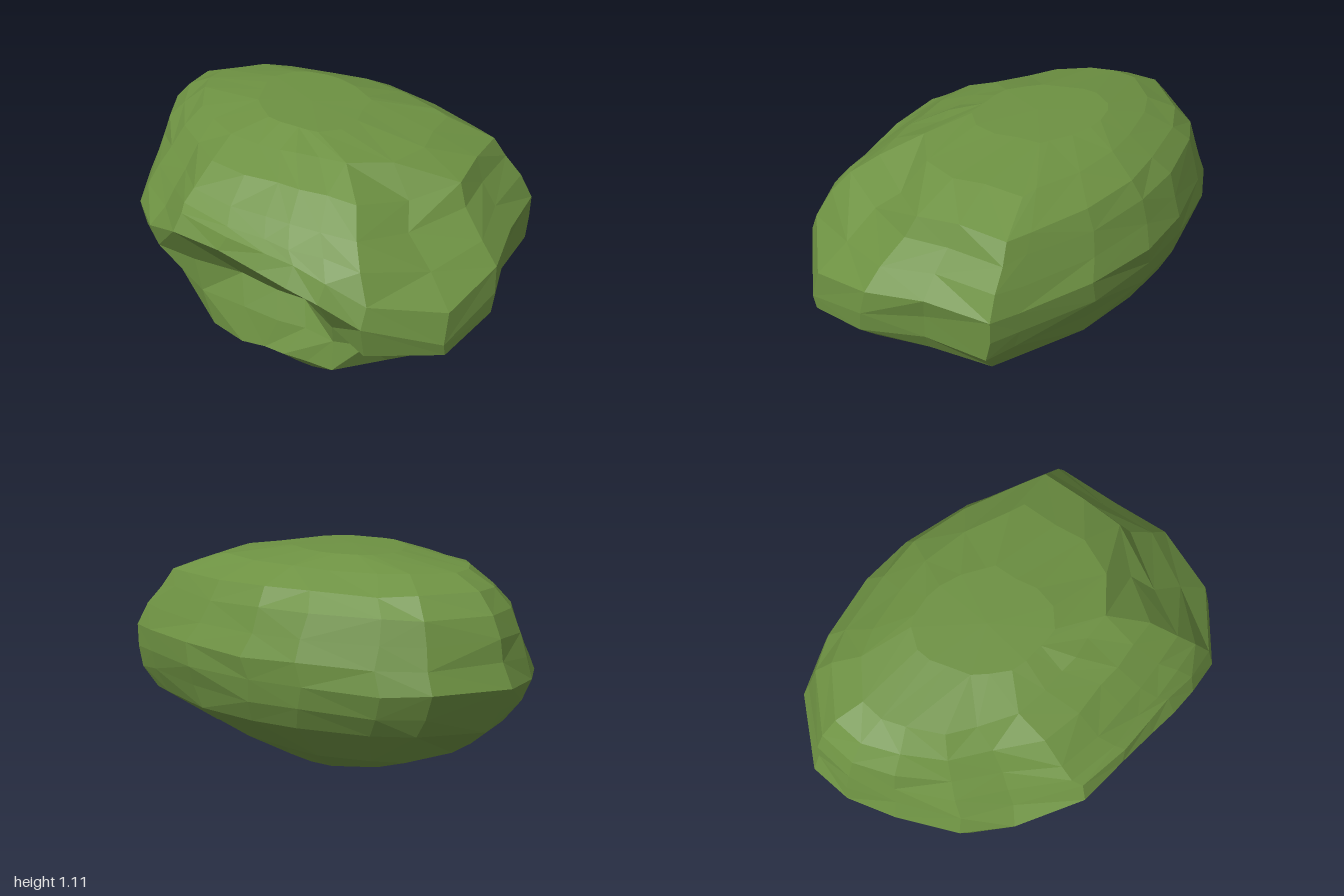
import * as THREE from 'three';

// Plan outline of the boulder (x, z), running from +x round through +z.
const OUTLINE = [
  [0.96, 0.05], [0.99, 0.36], [0.84, 0.67], [0.5, 0.845], [0.3, 0.83], [0.13, 0.8], [-0.02, 0.77],
  [-0.22, 0.74], [-0.48, 0.65], [-0.72, 0.42], [-0.89, 0.22], [-0.95, -0.1], [-1, -0.34],
  [-0.95, -0.55], [-0.66, -0.79], [-0.45, -0.845], [-0.07, -0.835], [0.21, -0.77],
  [0.56, -0.61], [0.88, -0.37], [1, -0.28],
];

// Horizontal sections: height, min x, max x, min z, max z,
// then the lift, tilt and inset of the section across the front.
const LEVELS = [
  [0, -0.11, 0.2, -0.06, 0.31, 0, 0, 0],
  [0.08, -0.4, 0.36, -0.38, 0.56, -0.02, 0, 0],
  [0.2, -0.69, 0.63, -0.61, 0.68, -0.05, 0, 0],
  [0.36, -0.87, 0.92, -0.76, 0.75, -0.05, 0.05, 0.09],
  [0.46, -0.95, 0.98, -0.81, 0.83, -0.02, 0.13, 0.22],
  [0.57, -1, 0.99, -0.845, 0.85, 0.11, 0.17, 0.02],
  [0.68, -0.96, 1, -0.83, 0.81, 0.08, 0.13, 0],
  [0.78, -0.94, 0.93, -0.805, 0.75, 0.03, 0.06, 0],
  [0.88, -0.9, 0.85, -0.77, 0.67, 0, 0, 0],
  [0.97, -0.82, 0.79, -0.69, 0.53, 0, 0, 0],
  [1.05, -0.69, 0.56, -0.56, 0.34, 0, 0, 0],
  [1.1, -0.35, 0.2, -0.41, 0.18, 0, 0, 0],
];

// Broken shoulders: centre, spread and push direction.
const HOLLOWS = [
  { at: [0.7, 0.86, 0.42], spread: 0.06, push: [-0.15, -0.08, -0.1] },
  { at: [-0.75, 0.9, 0.25], spread: 0.06, push: [0.1, -0.05, -0.05] },
];

const { smoothstep } = THREE.MathUtils;

function seeded(seed) {
  return () => {
    seed = (seed * 16807) % 2147483647;
    return seed / 2147483647 - 0.5;
  };
}

// Remap -1..1 to the min..max span of a section.
const span = (t, min, max) => min + ((t + 1) / 2) * (max - min);

function boulderGeometry() {
  const random = seeded(417);
  const count = OUTLINE.length;
  const points = [];

  LEVELS.forEach(([level, x0, x1, z0, z1, lift, tilt, inset], i) => {
    const rough = i > 0 && i < LEVELS.length - 1 ? 0.02 : 0;
    OUTLINE.forEach(([u, v]) => {
      const p = new THREE.Vector3(
        span(u, x0, x1) + random() * rough,
        level + random() * rough,
        span(v / 0.845, z0, z1) + random() * rough,
      );

      // Undercut across the front, sinking and closing towards +x
      const front = smoothstep(p.z, 0.25, 0.55) * smoothstep(p.x, -0.75, -0.4);
      const end = 1.5 - 3 * level;
      const fade = smoothstep(p.x, -0.7, -0.2) * (1 - smoothstep(p.x, end, end + 0.4));
      p.y += front * (lift * (1 - smoothstep(p.x, 0.3, 0.7)) - tilt * p.x);
      p.z -= front * inset * fade;

      for (const { at, spread, push } of HOLLOWS) {
        const distance = p.distanceToSquared(new THREE.Vector3(...at));
        p.addScaledVector(new THREE.Vector3(...push), Math.exp(-distance / spread));
      }
      points.push(p.x, p.y, p.z);
    });
  });

  // Centres of the underside and the crown
  const bottom = points.length / 3;
  points.push(0.05, 0.01, 0.13, -0.07, 1.105, -0.1);

  const index = [];
  const last = (LEVELS.length - 1) * count;
  for (let j = 0; j < count; j++) {
    const k = (j + 1) % count;
    for (let i = 0; i < LEVELS.length - 1; i++) {
      const a = i * count + j, b = i * count + k;
      const c = a + count, d = b + count;
      // Alternate the diagonals for irregular facets
      if ((i * 3 + j) % 5 < 2) index.push(a, c, b, b, c, d);
      else index.push(a, c, d, a, d, b);
    }
    index.push(bottom, j, k, bottom + 1, last + k, last + j);
  }

  const indexed = new THREE.BufferGeometry();
  indexed.setAttribute('position', new THREE.Float32BufferAttribute(points, 3));
  indexed.setIndex(index);
  const geometry = indexed.toNonIndexed();
  geometry.computeVertexNormals();
  return geometry;
}

export function createModel() {
  const group = new THREE.Group();
  group.name = 'boulder';
  const material = new THREE.MeshStandardMaterial({ color: 0x6d9142, flatShading: true });
  const rock = new THREE.Mesh(boulderGeometry(), material);
  rock.name = 'mossyRock';
  group.add(rock);
  return group;
}
